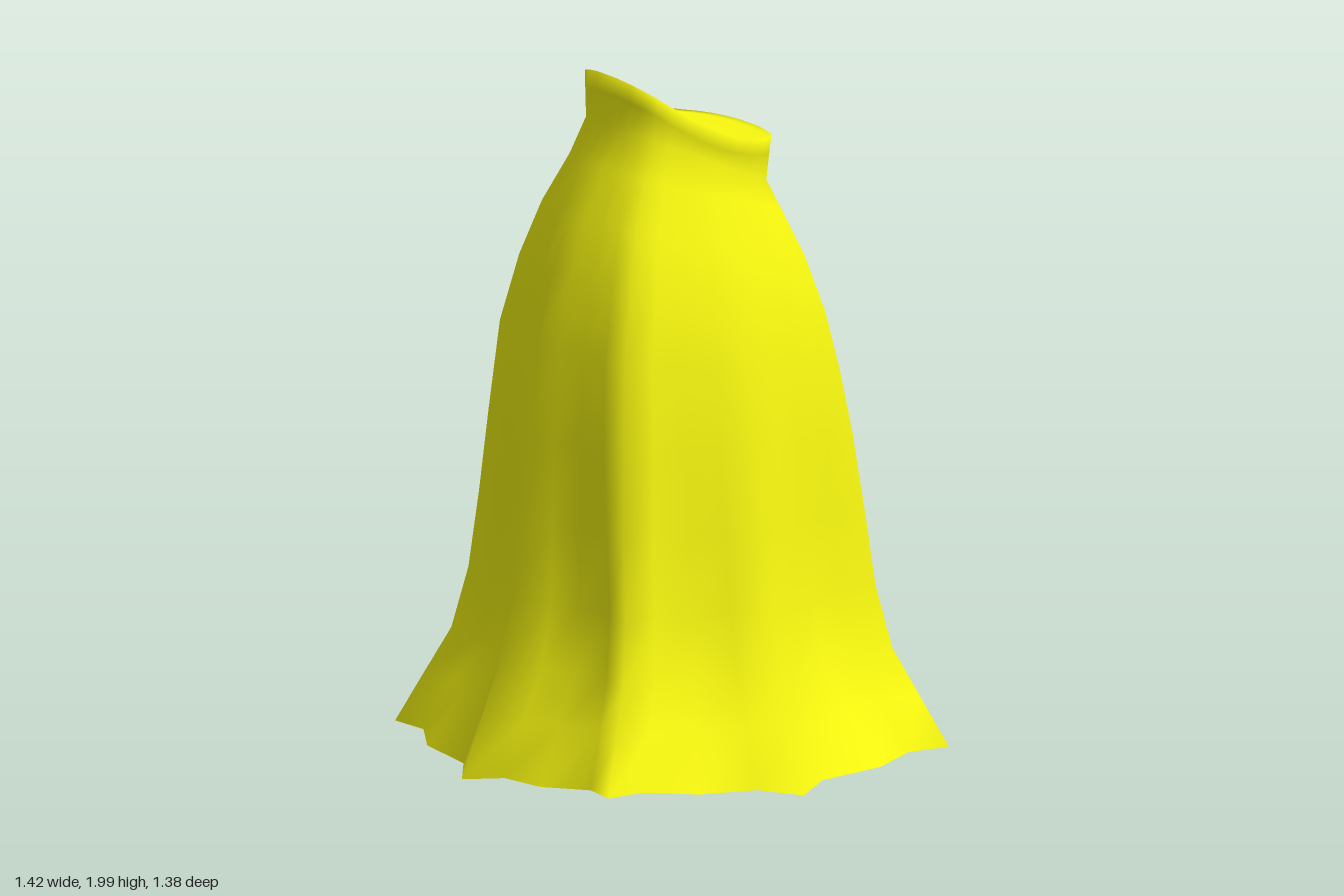
import * as THREE from 'three';

// One eighth of each cross-section, from the middle of a side (1, 0) to the corner, for half width 1
const HEM = [[1, 0], [0.895, 0.155], [0.895, 0.43], [0.785, 0.635], [0.81, 0.81]];
const FOLDS = [[1, 0], [0.86, 0.17], [0.8, 0.37], [0.74, 0.57], [0.78, 0.78]];
const BODY = [[1, 0], [0.95, 0.2], [0.9, 0.42], [0.85, 0.62], [0.81, 0.81]];
const WAIST = [[1, 0], [1, 0.21], [0.96, 0.45], [0.9, 0.64], [0.8, 0.8]];
const SECTIONS = [HEM, FOLDS, BODY, WAIST];
const SIDES = 32;

// Rings from the hem up: height, half width x, half depth z, centre x, tilt, section blend (0 hem .. 3 waist)
const RINGS = [
  [0, 0.71, 0.69, 0, 0, 0],
  [0.17, 0.643, 0.63, 0, 0, 0.5],
  [0.32, 0.585, 0.575, 0, 0, 1],
  [0.5, 0.54, 0.525, 0, 0, 1.1],
  [0.72, 0.515, 0.478, 0, 0.02, 1.4],
  [0.95, 0.482, 0.44, -0.004, 0.05, 1.8],
  [1.18, 0.448, 0.403, -0.008, 0.14, 2],
  [1.36, 0.405, 0.363, 0, 0.2, 2.2],
  [1.52, 0.352, 0.308, 0.003, 0.23, 2.5],
  [1.66, 0.282, 0.25, 0.01, 0.3, 2.8],
  [1.755, 0.237, 0.222, 0.014, 0.43, 3],
  [1.8, 0.238, 0.233, 0.018, 0.44, 3],
  [1.85, 0.24, 0.238, 0.02, 0.46, 3],
  // closed top inside the waistband
  [1.848, 0.215, 0.212, 0.02, 0.46, 3],
  [1.838, 0.14, 0.138, 0.02, 0.42, 3],
];

// Point k of a full section, mirrored out of its eighth
function sectionPoint(section, k) {
  const step = k % 8;
  const [a, b] = section[step <= 4 ? step : 8 - step];
  const [x, z] = step <= 4 ? [a, b] : [b, a];
  return [[x, z], [-z, x], [-x, -z], [z, -x]][Math.floor(k / 8)];
}

function skirtGeometry() {
  const positions = [];
  const index = [];
  RINGS.forEach(([height, halfX, halfZ, centre, tilt, blend], i) => {
    const low = Math.min(Math.floor(blend), 2);
    const t = blend - low;
    for (let k = 0; k < SIDES; k++) {
      const [x0, z0] = sectionPoint(SECTIONS[low], k);
      const [x1, z1] = sectionPoint(SECTIONS[low + 1], k);
      const x = centre + halfX * (x0 + (x1 - x0) * t);
      const z = halfZ * (z0 + (z1 - z0) * t);
      // the hem lifts at the corners, the waist slopes down to the left in a curve
      const lift = 0.04 * Math.abs(Math.sin(k * Math.PI / 8)) * Math.max(0, 1 - i / 2);
      const dip = i > 10 ? 0.9 * x * x : 0;
      positions.push(x, height - tilt * x + dip + lift, z);
    }
  });

  // walls between rings
  for (let i = 0; i < RINGS.length - 1; i++) {
    for (let k = 0; k < SIDES; k++) {
      const next = (k + 1) % SIDES;
      const a = i * SIDES + k, b = i * SIDES + next;
      index.push(a, a + SIDES, b, b, a + SIDES, b + SIDES);
    }
  }

  // fan closing the top
  const centre = positions.length / 3;
  positions.push(0.02, 1.825, 0);
  const last = (RINGS.length - 1) * SIDES;
  for (let k = 0; k < SIDES; k++) index.push(last + k, centre, last + (k + 1) % SIDES);

  const geometry = new THREE.BufferGeometry();
  geometry.setAttribute('position', new THREE.Float32BufferAttribute(positions, 3));
  geometry.setIndex(index);
  geometry.computeVertexNormals();
  return geometry;
}

export function createModel() {
  const model = new THREE.Group();
  model.name = 'flaredSkirt';
  const cloth = new THREE.MeshStandardMaterial({ color: 0xf8f810, side: THREE.DoubleSide });
  const skirt = new THREE.Mesh(skirtGeometry(), cloth);
  skirt.name = 'skirt';
  model.add(skirt);
  return model;
}
